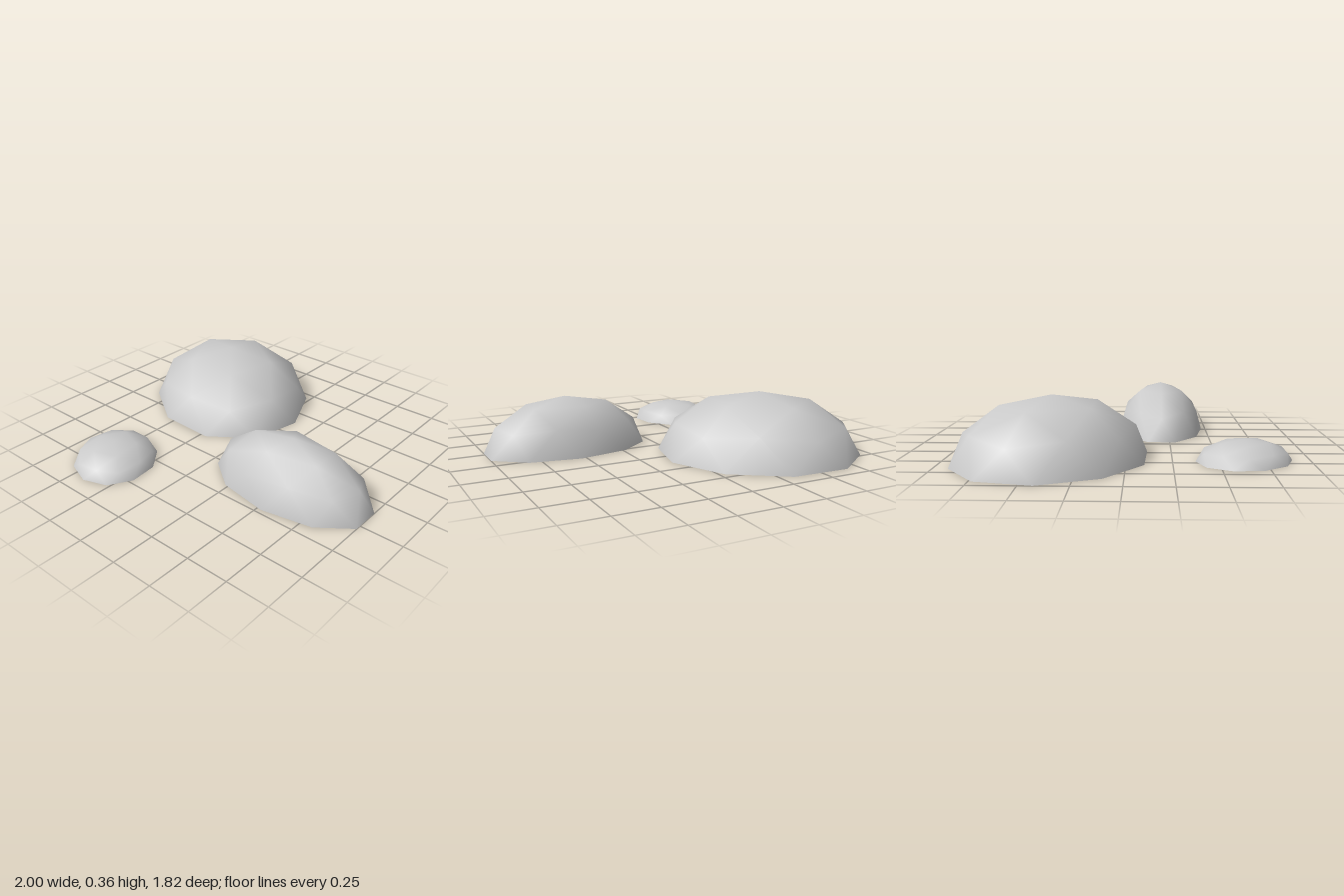
import * as THREE from 'three';

const material = new THREE.MeshStandardMaterial({ color: 0xcccccc });
const rad = THREE.MathUtils.degToRad;

// Mesh from corner points and triangles, smooth where corners are shared
function makeMesh(name, points, faces) {
  const geometry = new THREE.BufferGeometry().setFromPoints(points);
  geometry.setIndex(faces.flat());
  geometry.computeVertexNormals();
  const mesh = new THREE.Mesh(geometry, material);
  mesh.name = name;
  return mesh;
}

// Upper half of a once-subdivided icosahedron, stretched along two ground axes
function makeMound({ name, center, height, axisA, axisB, turn }) {
  const point = (r, y, degrees) => {
    const c = r * Math.cos(rad(degrees + turn));
    const s = r * Math.sin(rad(degrees + turn));
    return new THREE.Vector3(
      center[0] + axisA[0] * c + axisB[0] * s,
      y * height,
      center[1] + axisA[1] * c + axisB[1] * s
    );
  };

  // Rings: apex 0, upper 1-5, corners 6-10, mid-edges 11-15, rim 16-25
  const points = [point(0, 1, 0)];
  const addRing = (n, r, y, start) => {
    for (let k = 0; k < n; k++) points.push(point(r, y, start + (k * 360) / n));
  };
  addRing(5, 0.526, 0.851, 0);
  addRing(5, 0.894, 0.447, 0);
  addRing(5, 0.851, 0.526, 36);
  addRing(10, 1, 0, 18);

  const faces = [];
  for (let k = 0; k < 5; k++) {
    const next = (k + 1) % 5;
    const a = 1 + k, a2 = 1 + next;
    const b = 6 + k, b2 = 6 + next;
    const m = 11 + k;
    const e = 16 + 2 * k, e2 = e + 1;
    const before = 16 + ((2 * k + 9) % 10);
    faces.push(
      [0, a2, a], [a, a2, m], [a, m, b], [a2, b2, m],
      [b, e, before], [b, m, e], [m, e2, e], [m, b2, e2]
    );
  }

  // Flat underside
  const rim = [point(0, 0, 0), ...points.slice(16).map((p) => p.clone())];
  const fan = Array.from({ length: 10 }, (_, k) => [0, 1 + k, 1 + ((k + 1) % 10)]);

  const mound = new THREE.Group();
  mound.name = name;
  mound.add(makeMesh(name + 'Dome', points, faces), makeMesh(name + 'Base', rim, fan));
  return mound;
}

export function createModel() {
  const model = new THREE.Group();
  model.name = 'stones';
  const stones = [
    { name: 'largeStone', center: [-0.4425, -0.4025], height: 0.36,
      axisA: [0.555, 0.0225], axisB: [0.061, 0.534], turn: 198 },
    { name: 'longStone', center: [0.526, 0.199], height: 0.315,
      axisA: [0.498, -0.004], axisB: [0, 0.274], turn: 180 },
    { name: 'smallStone', center: [-0.4385, 0.639], height: 0.122,
      axisA: [0.251, 0.003], axisB: [0.0265, 0.265], turn: 180 },
  ];
  for (const stone of stones) model.add(makeMound(stone));
  return model;
}
